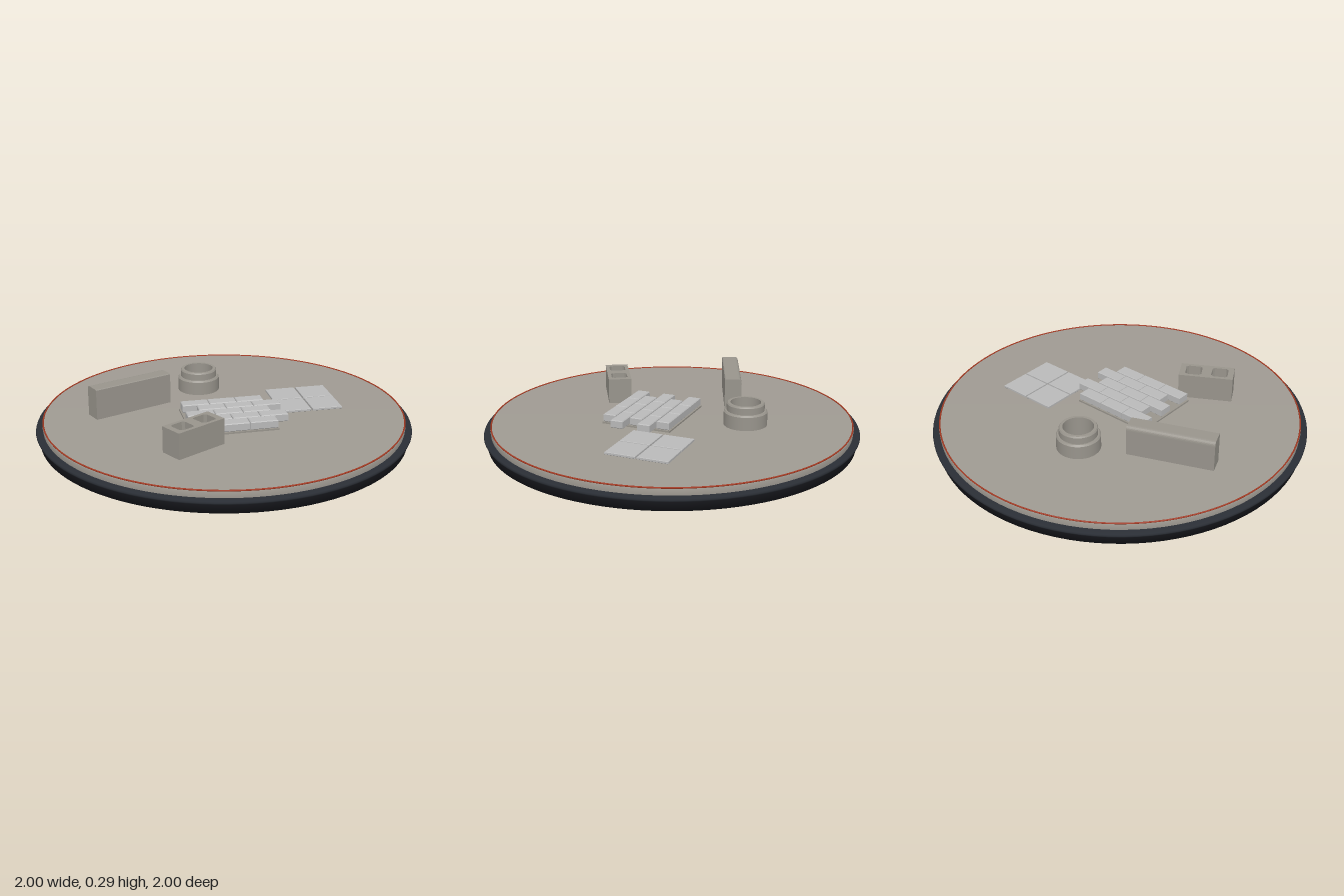
import * as THREE from 'three';

const mat = (name, color, side = THREE.FrontSide) => {
  const m = new THREE.MeshStandardMaterial({ color, side });
  m.name = name;
  return m;
};

const FLOOR = 0.122;

export function createModel() {
  const group = new THREE.Group();
  const black = mat('black base', 0x17181d);
  const slate = mat('dark slate rim', 0x2a2e35);
  const stone = mat('warm stone floor', 0x9f9a92);
  const red = mat('rust red', 0xa63a22);
  const concrete = mat('concrete', 0x98948c);
  const paving = mat('pale paving', 0xb9b9b9);

  const add = (name, geometry, material, x = 0, y = 0, z = 0, turn = 0) => {
    const mesh = new THREE.Mesh(geometry, material);
    mesh.name = name;
    mesh.position.set(x, y, z);
    mesh.rotation.y = turn;
    group.add(mesh);
    return mesh;
  };
  const lathe = (points, segments = 96) =>
    new THREE.LatheGeometry(points.map(([r, y]) => new THREE.Vector2(r, y)), segments);
  const rect = (w, d) => new THREE.Shape([
    new THREE.Vector2(-w / 2, -d / 2), new THREE.Vector2(w / 2, -d / 2),
    new THREE.Vector2(w / 2, d / 2), new THREE.Vector2(-w / 2, d / 2)]);

  // Upright block with small chamfers, standing on y = 0
  const chamferBlock = (w, h, d, c) => {
    const g = new THREE.ExtrudeGeometry(rect(w - 2 * c, d - 2 * c), {
      depth: h - 2 * c, bevelEnabled: true, bevelThickness: c, bevelSize: c, bevelSegments: 1 });
    return g.rotateX(-Math.PI / 2).translate(0, c, 0);
  };

  // Round plinth: underside, projecting rim, floor disc and coloured edge line
  add('plinthBase', lathe([[0, 0], [0.85, 0], [0.98, 0.018], [0.98, 0.07]]), black);
  add('plinthRim', lathe([[0.97, 0.068], [0.997, 0.07], [1, 0.077], [0.997, 0.085], [0.95, 0.087]]), slate);
  add('floorDisc', lathe([[0.962, 0.085], [0.965, 0.114], [0.957, FLOOR], [0, FLOOR]]), stone);
  const edge = new THREE.TorusGeometry(0.96, 0.004, 6, 128).rotateX(Math.PI / 2);
  add('edgeLine', edge, red, 0, 0.123, 0);

  // Kerb stone, rounded along its back top edge
  const kerb = new THREE.Shape();
  kerb.moveTo(-0.046, 0);
  kerb.lineTo(0.046, 0);
  kerb.lineTo(0.046, 0.163);
  kerb.lineTo(0.042, 0.167);
  kerb.lineTo(-0.024, 0.167);
  kerb.quadraticCurveTo(-0.046, 0.167, -0.046, 0.143);
  const kerbGeo = new THREE.ExtrudeGeometry(kerb, { depth: 0.455, bevelEnabled: false, curveSegments: 6 });
  // The profile's x becomes depth, with its negative side at the back
  kerbGeo.translate(0, 0, -0.2275).rotateY(-Math.PI / 2);
  add('kerbStone', kerbGeo, concrete, -0.483, FLOOR, -0.165, 0.384);

  // Stepped pipe ring with an open bore
  const pipe = [[0.08, 0], [0.115, 0], [0.115, 0.072], [0.108, 0.08],
    [0.1, 0.08], [0.1, 0.115], [0.095, 0.122], [0.08, 0.122], [0.08, 0]];
  const ring = new THREE.Group();
  ring.name = 'pipeRing';
  for (let i = 0; i < pipe.length - 1; i++) {
    const part = new THREE.Mesh(lathe([pipe[i], pipe[i + 1]], 48), concrete);
    part.name = 'pipeRingBand';
    ring.add(part);
  }
  ring.position.set(-0.06, FLOOR, -0.395);
  group.add(ring);

  // Hollow building block with two cells
  const block = rect(0.293, 0.126);
  for (const cx of [-0.071, 0.071]) {
    const s = 0.044, c = 0.012;
    block.holes.push(new THREE.Path([
      [-s + c, -s], [-s, -s + c], [-s, s - c], [-s + c, s],
      [s - c, s], [s, s - c], [s, -s + c], [s - c, -s],
    ].map(([x, y]) => new THREE.Vector2(cx + x, y))));
  }
  const blockGeo = new THREE.ExtrudeGeometry(block, { depth: 0.138, bevelEnabled: false });
  add('hollowBlock', blockGeo.rotateX(-Math.PI / 2), concrete, -0.25, FLOOR, 0.437, 0.517);

  // Brick paving in running bond on a thin bed
  add('pavingBed', new THREE.BoxGeometry(0.455, 0.01, 0.385), concrete, -0.003, FLOOR + 0.004, 0.112);
  const brick = chamferBlock(0.146, 0.043, 0.07, 0.004);
  for (let row = 0; row < 5; row++) {
    for (let i = 0; i < 3; i++) {
      add('pavingBrick', brick, paving,
        -0.151 + i * 0.149 + (row % 2) * 0.075, FLOOR + 0.01, -0.041 + row * 0.0765);
    }
  }

  // Four flat slabs
  const slab = chamferBlock(0.165, 0.014, 0.165, 0.002);
  for (const sx of [-1, 1]) {
    for (const sz of [-1, 1]) {
      add('pavingSlab', slab, paving, 0.465 + sx * 0.087, FLOOR + 0.002, -0.077 + sz * 0.087);
    }
  }
  return group;
}
